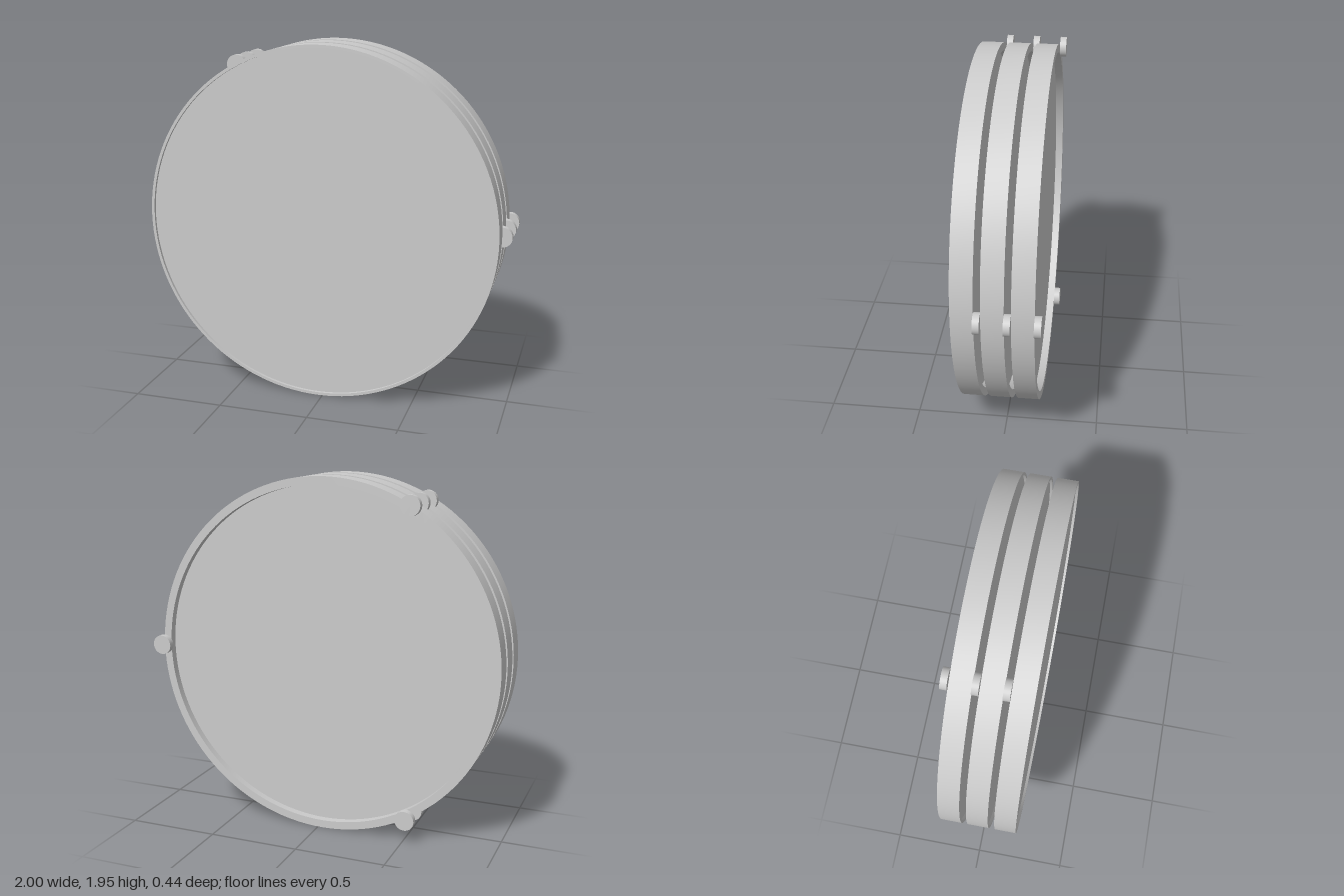
import * as THREE from 'three';
import { toCreasedNormals } from 'three/addons/utils/BufferGeometryUtils.js';

const CX = -0.027, CY = 0.973;   // disc axis
const R = 0.973;                 // disc radius
const THICK = 0.113;
const PITCH = 0.147;             // disc plus foot
const FRONT = 0.22;
const FOOT_R = 0.054;

// Shallow dish: narrow lip in front, wider and deeper rim behind
function trayGeometry() {
  const frontR = 0.957, frontDepth = 0.015;
  const backR = 0.93, backDepth = 0.042;
  const profile = [
    [0, backDepth], [backR, backDepth], [backR, 0], [R, 0],
    [R, THICK], [frontR, THICK], [frontR, THICK - frontDepth], [0, THICK - frontDepth],
  ].map(([x, y]) => new THREE.Vector2(x, y));
  const lathe = new THREE.LatheGeometry(profile, 128);
  lathe.rotateX(Math.PI / 2);
  return toCreasedNormals(lathe, 0.6);
}

export function createModel() {
  const model = new THREE.Group();
  model.name = 'stackedTrays';
  const material = new THREE.MeshStandardMaterial({ color: 0xcccccc });

  const footDepth = PITCH - THICK;
  const tray = trayGeometry();
  const foot = new THREE.CylinderGeometry(FOOT_R, FOOT_R, footDepth, 32);
  foot.rotateX(Math.PI / 2);

  for (let i = 0; i < 3; i++) {
    const unit = new THREE.Group();
    unit.name = `trayUnit${i + 1}`;
    unit.position.set(CX, CY, FRONT - THICK - i * PITCH);

    const dish = new THREE.Mesh(tray, material);
    dish.name = 'tray';
    unit.add(dish);

    // Three spacer feet behind the rim
    for (let k = 0; k < 3; k++) {
      const a = (k * 2 * Math.PI) / 3;
      const peg = new THREE.Mesh(foot, material);
      peg.name = 'spacerFoot';
      peg.position.set(R * Math.cos(a), R * Math.sin(a), -footDepth / 2);
      unit.add(peg);
    }
    model.add(unit);
  }
  return model;
}
